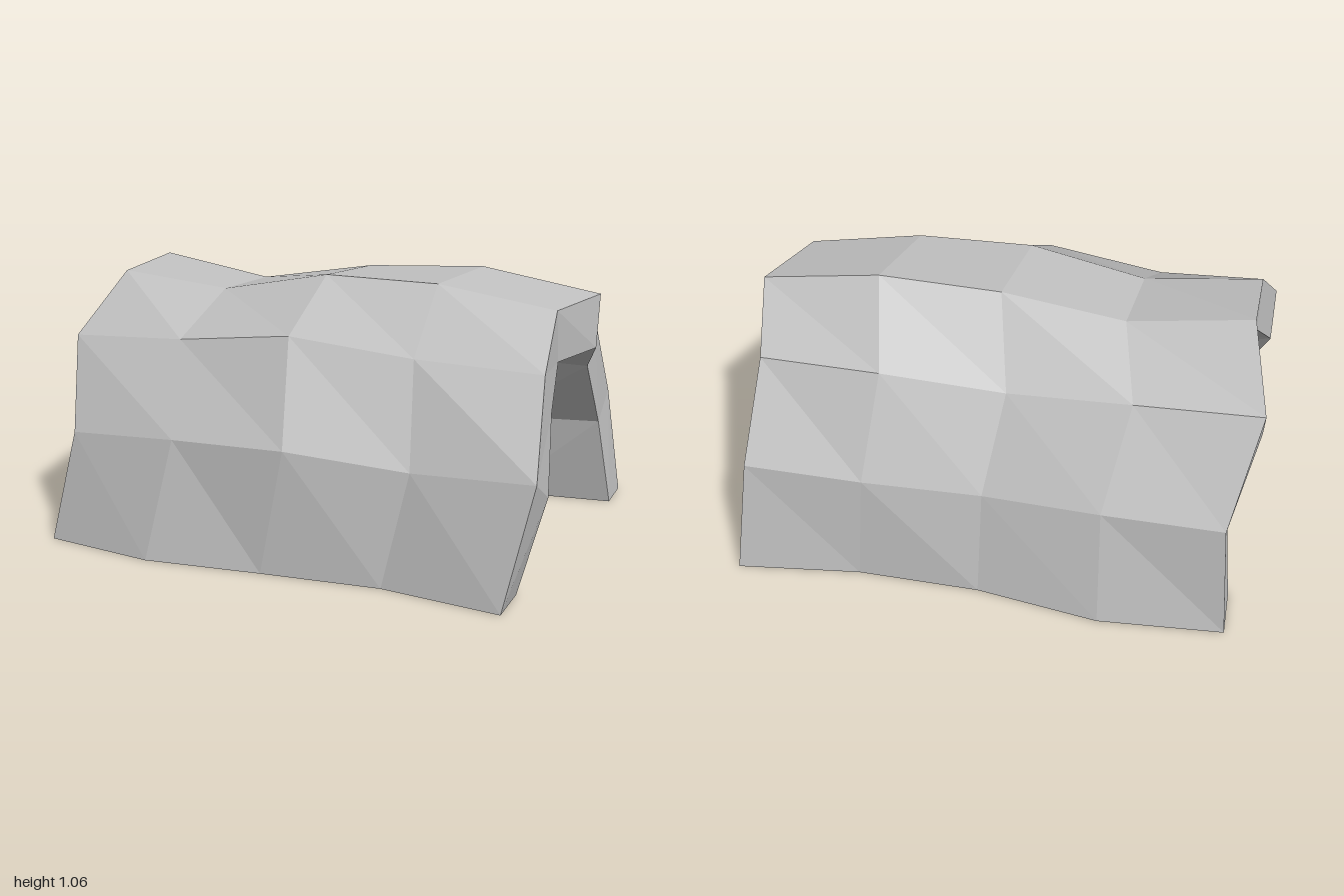
import * as THREE from 'three';

const stone = new THREE.MeshStandardMaterial({ color: 0xc0c0c0 });
stone.name = 'pale stone';
stone.flatShading = true;

// Lengthwise edges of the vault, from the front foot over the top to the back foot:
// first x, last x, then heights and depths at five stations along x.
const edges = [
  { x: [-0.97, 0.90], y: [0, 0, 0, 0, 0], z: [0.73, 0.80, 0.755, 0.72, 0.785] },
  { x: [-0.90, 0.985], y: [0.43, 0.46, 0.47, 0.425, 0.445], z: [0.65, 0.70, 0.715, 0.65, 0.68] },
  { x: [-1.0, 0.945], y: [0.78, 0.80, 0.855, 0.80, 0.78], z: [0.45, 0.465, 0.50, 0.465, 0.455] },
  { x: [-0.935, 0.91], y: [1.01, 0.96, 1.045, 1.035, 0.96], z: [0.165, 0.155, 0.175, 0.175, 0.16] },
  { x: [-0.925, 1.0], y: [1.045, 0.965, 1.04, 1.06, 0.98], z: [-0.175, -0.165, -0.175, -0.185, -0.17] },
  { x: [-1.0, 0.92], y: [0.855, 0.82, 0.78, 0.83, 0.82], z: [-0.505, -0.485, -0.46, -0.50, -0.48] },
  { x: [-0.91, 0.94], y: [0.47, 0.46, 0.43, 0.45, 0.47], z: [-0.715, -0.705, -0.66, -0.70, -0.72] },
  { x: [-0.95, 0.99], y: [0, 0, 0, 0, 0], z: [-0.765, -0.805, -0.74, -0.74, -0.805] },
];
const STATIONS = 5;

const outer = (i, j) => {
  const e = edges[j];
  return [THREE.MathUtils.lerp(e.x[0], e.x[1], i / (STATIONS - 1)), e.y[i], e.z[i]];
};
// The inside of the vault is the outside drawn in towards the axis
const inner = (i, j) => {
  const [x, y, z] = outer(i, j);
  return [x, y * 0.79, z * 0.745];
};

function vaultGeometry() {
  const pos = [];
  const tri = (...pts) => pts.forEach((p) => pos.push(...p));
  const quad = (a, b, c, d) => { tri(a, b, d); tri(b, c, d); };
  const last = edges.length - 1;
  const end = STATIONS - 1;

  for (let j = 0; j < last; j++) {
    for (let i = 0; i < end; i++) {
      // outer skin
      quad(outer(i, j), outer(i + 1, j), outer(i + 1, j + 1), outer(i, j + 1));
      // inner skin, facing the passage
      const a = inner(i, j), b = inner(i + 1, j), c = inner(i + 1, j + 1), d = inner(i, j + 1);
      tri(a, d, b);
      tri(b, d, c);
    }
    // end faces
    quad(inner(end, j), inner(end, j + 1), outer(end, j + 1), outer(end, j));
    quad(outer(0, j), outer(0, j + 1), inner(0, j + 1), inner(0, j));
  }
  // soles of both walls
  for (let i = 0; i < end; i++) {
    quad(inner(i, 0), inner(i + 1, 0), outer(i + 1, 0), outer(i, 0));
    quad(outer(i, last), outer(i + 1, last), inner(i + 1, last), inner(i, last));
  }
  const geo = new THREE.BufferGeometry();
  geo.setAttribute('position', new THREE.Float32BufferAttribute(pos, 3));
  geo.computeVertexNormals();
  return geo;
}

function part(geo, name) {
  const mesh = new THREE.Mesh(geo, stone);
  mesh.name = name;
  return mesh;
}

// Spool-shaped wall lamp on a short sloping arm; the wall lies towards +z
function wallLamp() {
  const lamp = new THREE.Group();
  lamp.name = 'wallLamp';
  const profile = [[0, 0], [0.031, 0], [0.023, 0.06], [0.036, 0.063], [0.036, 0.078], [0, 0.082]]
    .map(([r, y]) => new THREE.Vector2(r, y));
  lamp.add(part(new THREE.LatheGeometry(profile, 8), 'lampBody'));
  const arm = part(new THREE.BoxGeometry(0.016, 0.014, 0.09), 'lampArm');
  arm.position.set(0, 0.04, 0.05);
  arm.rotation.x = 0.4;
  lamp.add(arm);
  return lamp;
}

export function createModel() {
  const model = new THREE.Group();
  model.name = 'tunnel';
  model.add(part(vaultGeometry(), 'vault'));

  // Lamps alternate between the two walls
  for (const [x, side] of [[0.6, -1], [0, 1], [-0.6, -1]]) {
    const lamp = wallLamp();
    lamp.position.set(x, 0.34, side * 0.45);
    if (side < 0) lamp.rotation.y = Math.PI;
    model.add(lamp);
  }
  return model;
}
